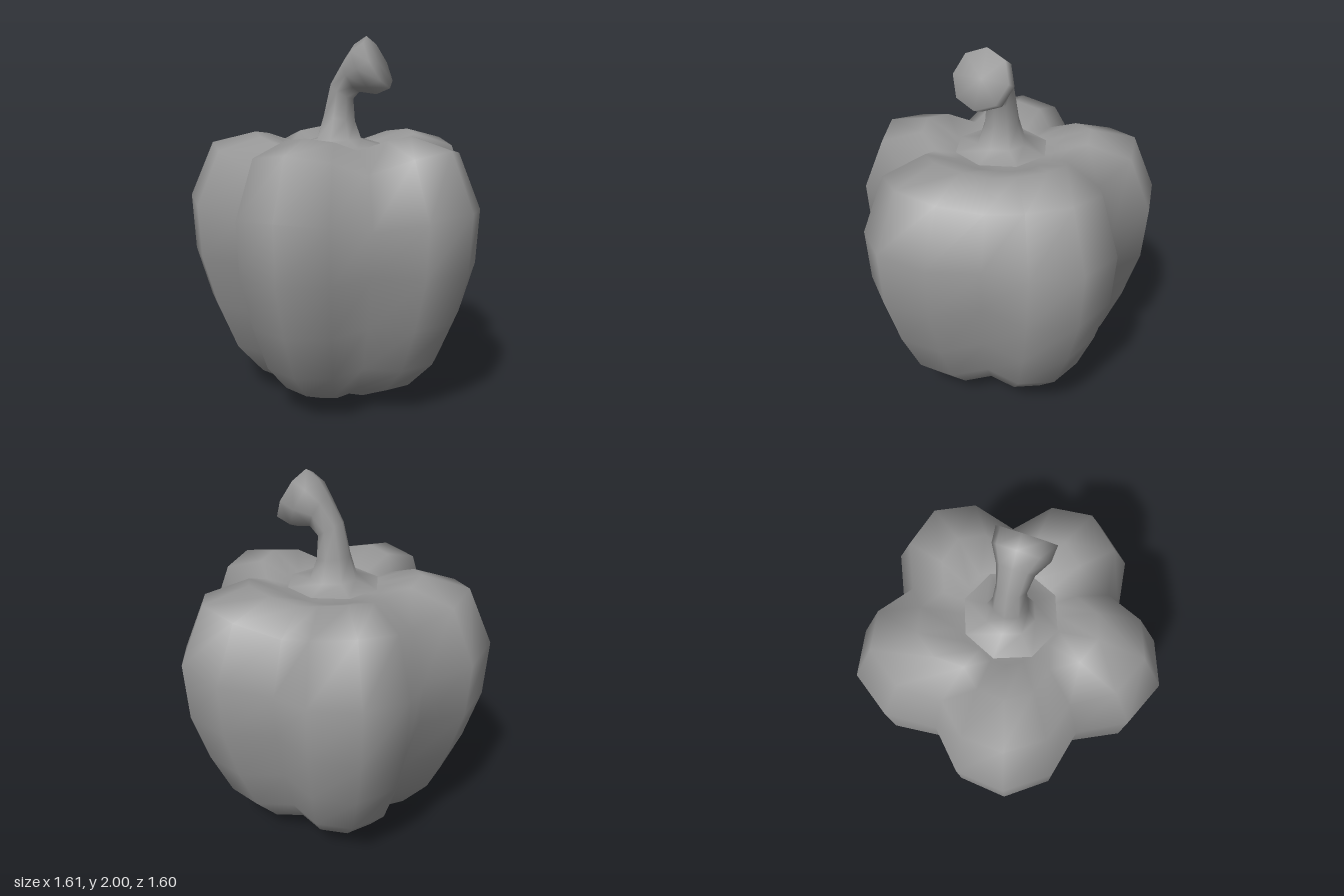
import * as THREE from 'three';

// Smooth skin over a list of rings (arrays of Vector3); first and last entries may be single points
function loft(name, rings, n, material) {
  const pos = [], idx = [], start = [];
  for (const ring of rings) {
    start.push(pos.length / 3);
    for (const p of ring) pos.push(p.x, p.y, p.z);
  }
  for (let k = 0; k < rings.length - 1; k++) {
    const at = (r, i) => start[r] + (rings[r].length === 1 ? 0 : i % n);
    for (let i = 0; i < n; i++) {
      const a = at(k, i), b = at(k, i + 1), c = at(k + 1, i + 1), d = at(k + 1, i);
      if (a !== b) idx.push(a, b, c);
      if (c !== d) idx.push(a, c, d);
    }
  }
  const geo = new THREE.BufferGeometry();
  geo.setAttribute('position', new THREE.Float32BufferAttribute(pos, 3));
  geo.setIndex(idx);
  geo.computeVertexNormals();
  const mesh = new THREE.Mesh(geo, material);
  mesh.name = name;
  return mesh;
}

export function createModel() {
  const group = new THREE.Group();
  group.name = 'bellPepper';
  const material = new THREE.MeshStandardMaterial({ color: 0x989898 });

  // Five-lobed body: radius at the lobe, height, groove ratio, groove height change
  const sides = 20, bodyZ = -0.05;
  const profile = [
    [0.13, 0, 0.92, 0.015],
    [0.25, 0.015, 0.85, 0.015],
    [0.485, 0.13, 0.78, 0.01],
    [0.635, 0.29, 0.76, 0],
    [0.745, 0.54, 0.75, 0],
    [0.83, 0.82, 0.75, 0],
    [0.847, 1.13, 0.75, -0.08],
    [0.715, 1.43, 0.76, -0.11],
    [0.47, 1.49, 0.76, -0.07],
    [0.27, 1.41, 0.85, -0.015],
  ];
  const bodyRings = profile.map(([r, y, ratio, dy]) =>
    Array.from({ length: sides }, (_, i) => {
      const a = (i / sides) * Math.PI * 2;
      const g = [0, 0.27, 1, 0.27][i % 4]; // 0 on the lobe, 1 in the groove
      const rr = r * (1 - (1 - ratio) * g);
      return new THREE.Vector3(rr * Math.sin(a), y + dy * g, bodyZ + rr * Math.cos(a));
    }));
  bodyRings.unshift([new THREE.Vector3(0, 0.025, bodyZ)]);
  bodyRings.push([new THREE.Vector3(0, 1.36, bodyZ)]);
  group.add(loft('body', bodyRings, sides, material));

  // Bent stem with a flared foot: centre x, y, radius, tilt from vertical
  const stemZ = -0.04;
  const stations = [
    [0, 1.422, 0.25, 0],
    [0, 1.455, 0.13, 0],
    [0, 1.565, 0.093, 0.15],
    [0.015, 1.71, 0.077, 0.55],
    [0.073, 1.795, 0.096, 1.1],
    [0.15, 1.828, 0.146, 1.11],
    [0.222, 1.865, 0.152, 1.11],
  ];
  const stemRings = stations.map(([x, y, r, tilt]) =>
    Array.from({ length: 8 }, (_, i) => {
      const a = (i / 8) * Math.PI * 2, s = r * Math.sin(a);
      return new THREE.Vector3(x + s * Math.cos(tilt), y - s * Math.sin(tilt), stemZ + r * Math.cos(a));
    }));
  stemRings.push([new THREE.Vector3(0.222, 1.865, stemZ)]);
  group.add(loft('stem', stemRings, 8, material));

  return group;
}
